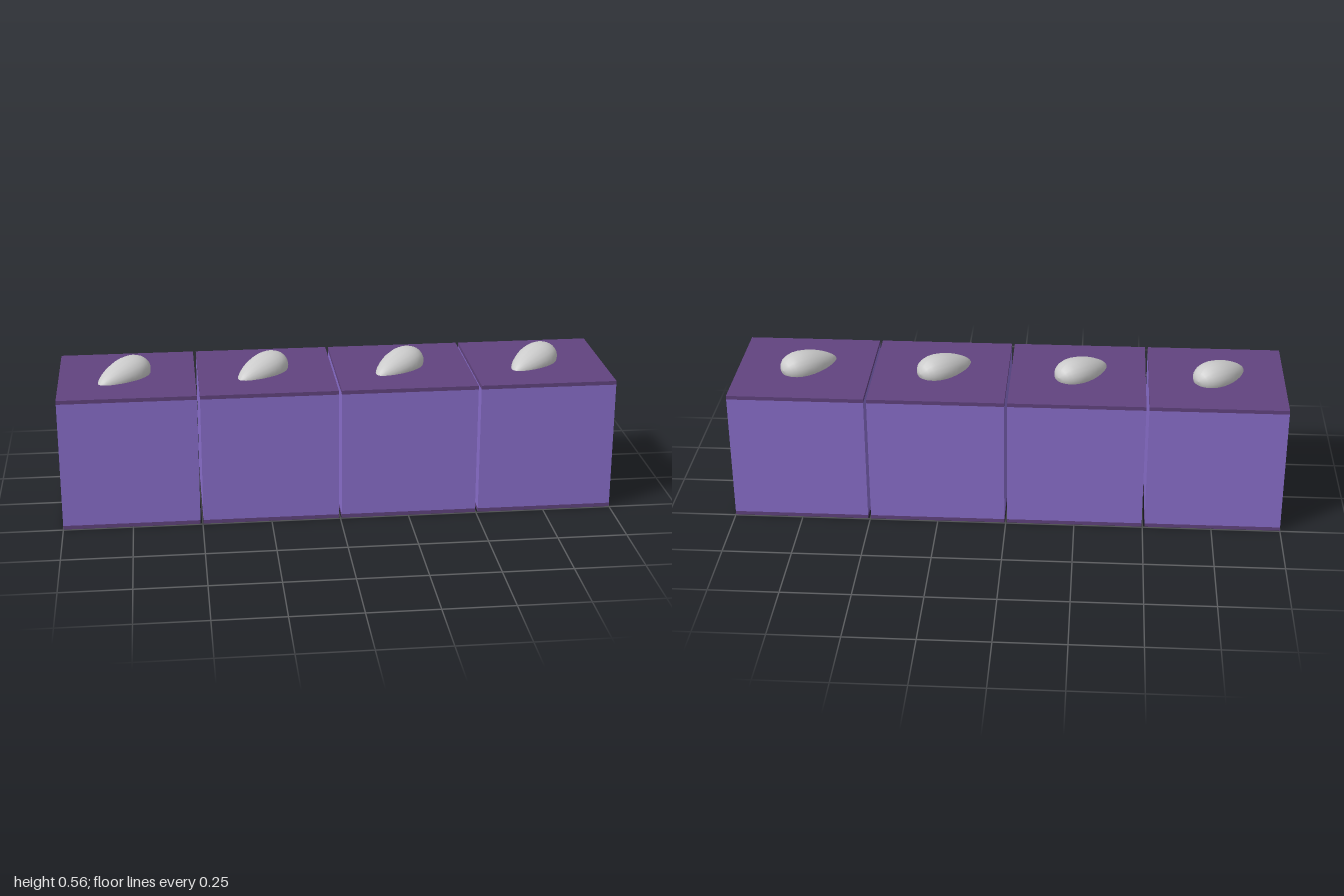
import * as THREE from 'three';

const SIZE = 0.492, SPACING = 0.5027, CAP = 0.014;

// Egg-shaped pebble: blunt and raised at +x, tapered and sunken at -x
function pebbleGeometry() {
  const geo = new THREE.SphereGeometry(1, 20, 14).rotateZ(-Math.PI / 2);
  const pos = geo.attributes.position;
  for (let i = 0; i < pos.count; i++) {
    const u = pos.getX(i), taper = 1 + 0.28 * u;
    pos.setXYZ(i, u * 0.118,
      0.497 + 0.012 * u + pos.getY(i) * 0.056 * taper,
      pos.getZ(i) * 0.066 * taper);
  }
  geo.computeVertexNormals();
  return geo;
}

export function createModel() {
  const wallMat = new THREE.MeshStandardMaterial({ color: 0x896ecb });
  const capMat = new THREE.MeshStandardMaterial({ color: 0x61437f });
  const stoneMat = new THREE.MeshStandardMaterial({ color: 0xcccccc });

  const wallGeo = new THREE.BoxGeometry(SIZE, SIZE - 2 * CAP, SIZE);
  const capGeo = new THREE.BoxGeometry(SIZE, CAP, SIZE);
  const stoneGeo = pebbleGeometry();

  const model = new THREE.Group();
  model.name = 'blockRow';
  const add = (parent, name, geo, mat, y) => {
    const mesh = new THREE.Mesh(geo, mat);
    mesh.name = name;
    mesh.position.y = y;
    parent.add(mesh);
    return mesh;
  };

  // Four equal blocks in a row, each with a pebble set in its lid
  for (let i = 0; i < 4; i++) {
    const block = new THREE.Group();
    block.name = `block${i + 1}`;
    block.position.x = (i - 1.5) * SPACING;
    add(block, 'body', wallGeo, wallMat, SIZE / 2);
    add(block, 'bottomPlate', capGeo, capMat, CAP / 2);
    add(block, 'topPlate', capGeo, capMat, SIZE - CAP / 2);
    const stone = add(block, 'pebble', stoneGeo, stoneMat, 0);
    stone.position.x = -0.014;
    stone.position.z = 0.015;
    stone.rotation.y = Math.PI / 4;
    model.add(block);
  }
  return model;
}
